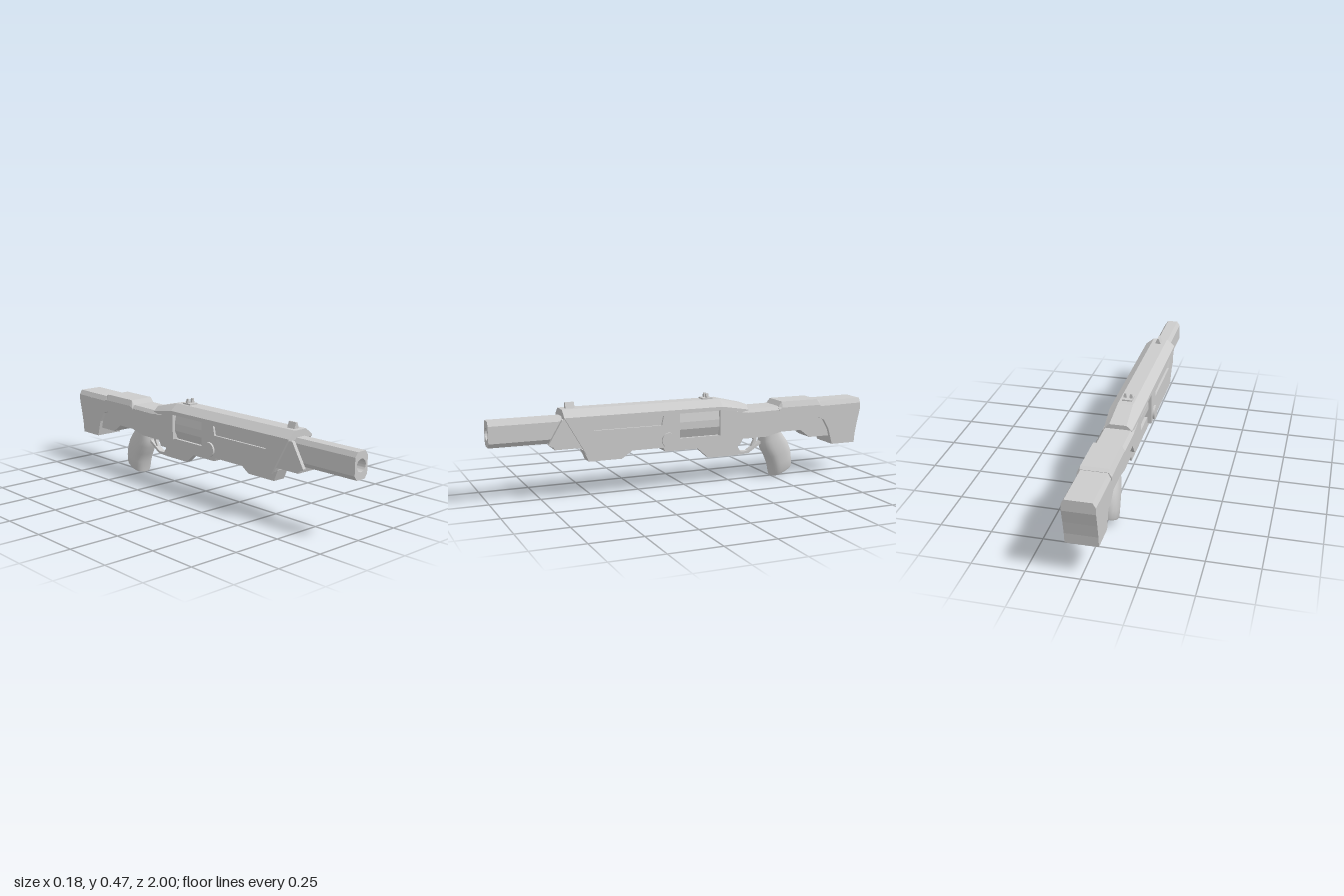
import * as THREE from 'three';
import { toCreasedNormals } from 'three/addons/utils/BufferGeometryUtils.js';

const material = new THREE.MeshStandardMaterial({ color: 0xcccccc });

function add(group, name, geometry) {
  const mesh = new THREE.Mesh(geometry, material);
  mesh.name = name;
  group.add(mesh);
  return mesh;
}

const toShape = (pts) => new THREE.Shape(pts.map(([a, b]) => new THREE.Vector2(a, b)));

// Side profile given as [z, y] points, extruded from x0 to x1
function sideExtrude(profile, x0, x1, holes = []) {
  const shape = toShape(profile);
  holes.forEach((h) => shape.holes.push(toShape(h)));
  const g = new THREE.ExtrudeGeometry(shape, { depth: x1 - x0, bevelEnabled: false });
  g.translate(0, 0, -x1);
  g.rotateY(-Math.PI / 2);
  return g;
}

// Skin over matching rings of [x, y, z] points, with closed ends
function loft(rings, crease = 0.4) {
  const pos = [];
  const tri = (a, b, c) => pos.push(...a, ...b, ...c);
  const n = rings[0].length;
  for (let r = 0; r < rings.length - 1; r++) {
    const A = rings[r], B = rings[r + 1];
    for (let i = 0; i < n; i++) {
      const j = (i + 1) % n;
      tri(A[i], B[i], A[j]);
      tri(A[j], B[i], B[j]);
    }
  }
  const last = rings[rings.length - 1];
  for (let i = 1; i < n - 1; i++) {
    tri(rings[0][0], rings[0][i], rings[0][i + 1]);
    tri(last[0], last[i + 1], last[i]);
  }
  const g = new THREE.BufferGeometry();
  g.setAttribute('position', new THREE.Float32BufferAttribute(pos, 3));
  return toCreasedNormals(g, crease);
}

// Roof cross-section: vertical sides, chamfers and a flat top
const roofRing = (z, base, shoulder, top, wide, narrow) => [
  [wide, base, z], [wide, shoulder, z], [narrow, top, z],
  [-narrow, top, z], [-wide, shoulder, z], [-wide, base, z],
];

export function createModel() {
  const model = new THREE.Group();
  model.name = 'longGun';

  // Barrel with chamfered corners and a shallow bore
  const bx = 0.042, cut = 0.022, lo = 0.278, hi = 0.405;
  const section = toShape([
    [bx, lo + cut], [bx, hi - cut], [bx - cut * 0.7, hi], [-bx + cut * 0.7, hi],
    [-bx, hi - cut], [-bx, lo + cut], [-bx + cut * 0.7, lo], [bx - cut * 0.7, lo],
  ]);
  section.holes.push(new THREE.Path().absarc(0, 0.342, 0.03, 0, Math.PI * 2, true));
  const barrel = new THREE.ExtrudeGeometry(section, { depth: 0.45, bevelEnabled: false, curveSegments: 16 });
  add(model, 'barrel', toCreasedNormals(barrel.translate(0, 0, 0.55), 0.6));
  add(model, 'boreEnd', new THREE.CylinderGeometry(0.031, 0.031, 0.02, 24).rotateX(Math.PI / 2).translate(0, 0.342, 0.93));

  // Cradle under the barrel: two cheeks and a floor
  const cheek = [[0.55, 0.25], [0.69, 0.25], [0.695, 0.262], [0.72, 0.275], [0.65, 0.392], [0.55, 0.392]];
  for (const s of [-1, 1]) {
    add(model, 'cradleCheek', sideExtrude(cheek, s > 0 ? 0.042 : -0.06, s > 0 ? 0.06 : -0.042));
  }
  add(model, 'cradleFloor', sideExtrude([[0.5, 0.25], [0.69, 0.25], [0.7, 0.278], [0.5, 0.278]], -0.043, 0.043));

  // Body core, and side plates with a recessed slot and an open bay
  add(model, 'bodyCore', sideExtrude([[0.055, 0.222], [0.53, 0.222], [0.625, 0.41], [0.055, 0.41]], -0.068, 0.068));
  const plate = [
    [0.055, 0.22], [0.54, 0.22], [0.645, 0.404], [-0.18, 0.404], [-0.18, 0.385], [0.055, 0.385],
  ];
  const slot = [[0.15, 0.333], [0.5, 0.333], [0.53, 0.38], [0.14, 0.38]];
  for (const s of [-1, 1]) {
    add(model, 'sidePlate', sideExtrude(plate, s > 0 ? 0.066 : -0.079, s > 0 ? 0.079 : -0.066, [slot]));
    add(model, 'pivotDisc', new THREE.CylinderGeometry(0.037, 0.037, 0.03, 32)
      .rotateZ(Math.PI / 2).translate(s * 0.074, 0.257, 0.115));
  }

  // Roof, sloping down and narrowing toward the stock
  add(model, 'roof', loft([
    roofRing(0.645, 0.395, 0.404, 0.438, 0.079, 0.037),
    roofRing(-0.18, 0.385, 0.404, 0.438, 0.079, 0.037),
    roofRing(-0.33, 0.36, 0.378, 0.402, 0.068, 0.042),
  ], 0.1));

  // Faceted bolt carrier inside the bay
  const carrier = (z) => [
    [0.04, 0.25, z], [0.062, 0.3, z], [0.062, 0.337, z], [0.05, 0.39, z],
    [-0.05, 0.39, z], [-0.062, 0.337, z], [-0.062, 0.3, z], [-0.04, 0.25, z],
  ];
  add(model, 'boltCarrier', loft([carrier(0.08), carrier(-0.2)], 0.1));

  // Lower receiver running back into the stock
  add(model, 'lowerReceiver', sideExtrude([
    [0.14, 0.255], [0.14, 0.222], [0.125, 0.195], [-0.29, 0.195], [-0.305, 0.225], [-0.44, 0.225],
    [-0.53, 0.245], [-0.645, 0.245], [-0.7, 0.203], [-0.84, 0.203], [-0.84, 0.36], [-0.18, 0.36], [-0.18, 0.255],
  ], -0.058, 0.058));
  add(model, 'foregrip', sideExtrude([[0.54, 0.23], [0.515, 0.173], [0.345, 0.173], [0.26, 0.23]], -0.034, 0.034));

  // Keel, trigger guard and trigger
  add(model, 'keel', sideExtrude([
    [-0.04, 0.2], [-0.06, 0.195], [-0.13, 0.132], [-0.29, 0.132], [-0.36, 0.136], [-0.43, 0.18],
    [-0.43, 0.195], [-0.355, 0.148], [-0.315, 0.148], [-0.3, 0.17], [-0.3, 0.23], [-0.1, 0.23],
  ], -0.016, 0.016));
  add(model, 'trigger', sideExtrude([
    [-0.39, 0.23], [-0.395, 0.2], [-0.38, 0.17], [-0.39, 0.168], [-0.41, 0.198], [-0.415, 0.23],
  ], -0.008, 0.008));

  // Curved pistol grip: front [z, y], back [z, y], half width
  const gripRings = [
    [-0.435, 0.235, -0.54, 0.25, 0.048],
    [-0.432, 0.19, -0.565, 0.217, 0.053],
    [-0.442, 0.15, -0.588, 0.185, 0.058],
    [-0.468, 0.107, -0.605, 0.14, 0.06],
    [-0.488, 0.06, -0.61, 0.1, 0.06],
    [-0.497, 0.015, -0.612, 0.065, 0.058],
    [-0.5, 0.001, -0.61, 0.053, 0.052],
  ].map(([fz, fy, bz, by, w]) => Array.from({ length: 28 }, (_, i) => {
    const a = (i / 28) * Math.PI * 2;
    const soft = (v) => Math.sign(v) * Math.abs(v) ** 0.75;
    const t = 0.5 + soft(Math.sin(a)) / 2;
    return [w * soft(Math.cos(a)), fy + (by - fy) * t, fz + (bz - fz) * t];
  }));
  add(model, 'grip', loft(gripRings, 0.7));

  // Stock shell with curved toe, chamfered comb and cheek pad
  add(model, 'stockShell', sideExtrude([
    [-0.17, 0.255], [-0.31, 0.255], [-0.35, 0.31], [-0.74, 0.31], [-0.775, 0.295], [-0.805, 0.245],
    [-0.818, 0.2], [-0.83, 0.158], [-0.967, 0.158], [-0.972, 0.21], [-0.985, 0.275], [-1, 0.34],
    [-1, 0.372], [-0.33, 0.362], [-0.17, 0.386],
  ], -0.076, 0.076));
  add(model, 'stockComb', loft([
    roofRing(-0.3, 0.35, 0.362, 0.38, 0.076, 0.062),
    roofRing(-0.55, 0.35, 0.364, 0.383, 0.076, 0.062),
    roofRing(-0.75, 0.35, 0.368, 0.394, 0.076, 0.062),
    roofRing(-1, 0.35, 0.372, 0.396, 0.076, 0.062),
  ], 0.1));
  add(model, 'cheekPad', loft([
    roofRing(-0.505, 0.36, 0.366, 0.38, 0.079, 0.066),
    roofRing(-0.525, 0.36, 0.376, 0.406, 0.079, 0.066),
    roofRing(-0.735, 0.36, 0.376, 0.406, 0.079, 0.066),
    roofRing(-0.752, 0.36, 0.376, 0.396, 0.079, 0.066),
  ], 0.1));

  // Front sight blade and notched rear sight
  const blade = (z) => [[0.016, 0.436, z], [0.004, 0.467, z], [-0.004, 0.467, z], [-0.016, 0.436, z]];
  add(model, 'frontSight', loft([blade(0.62), blade(0.575)], 0.1));
  add(model, 'rearSightBase', new THREE.BoxGeometry(0.05, 0.01, 0.055).translate(0, 0.44, -0.12));
  for (const s of [-1, 1]) {
    const horn = toShape([[s * 0.006, 0.44], [s * 0.024, 0.44], [s * 0.02, 0.467], [s * 0.01, 0.467]]);
    add(model, 'rearSightPost', new THREE.ExtrudeGeometry(horn, { depth: 0.012, bevelEnabled: false }).translate(0, 0, -0.126));
  }
  return model;
}
